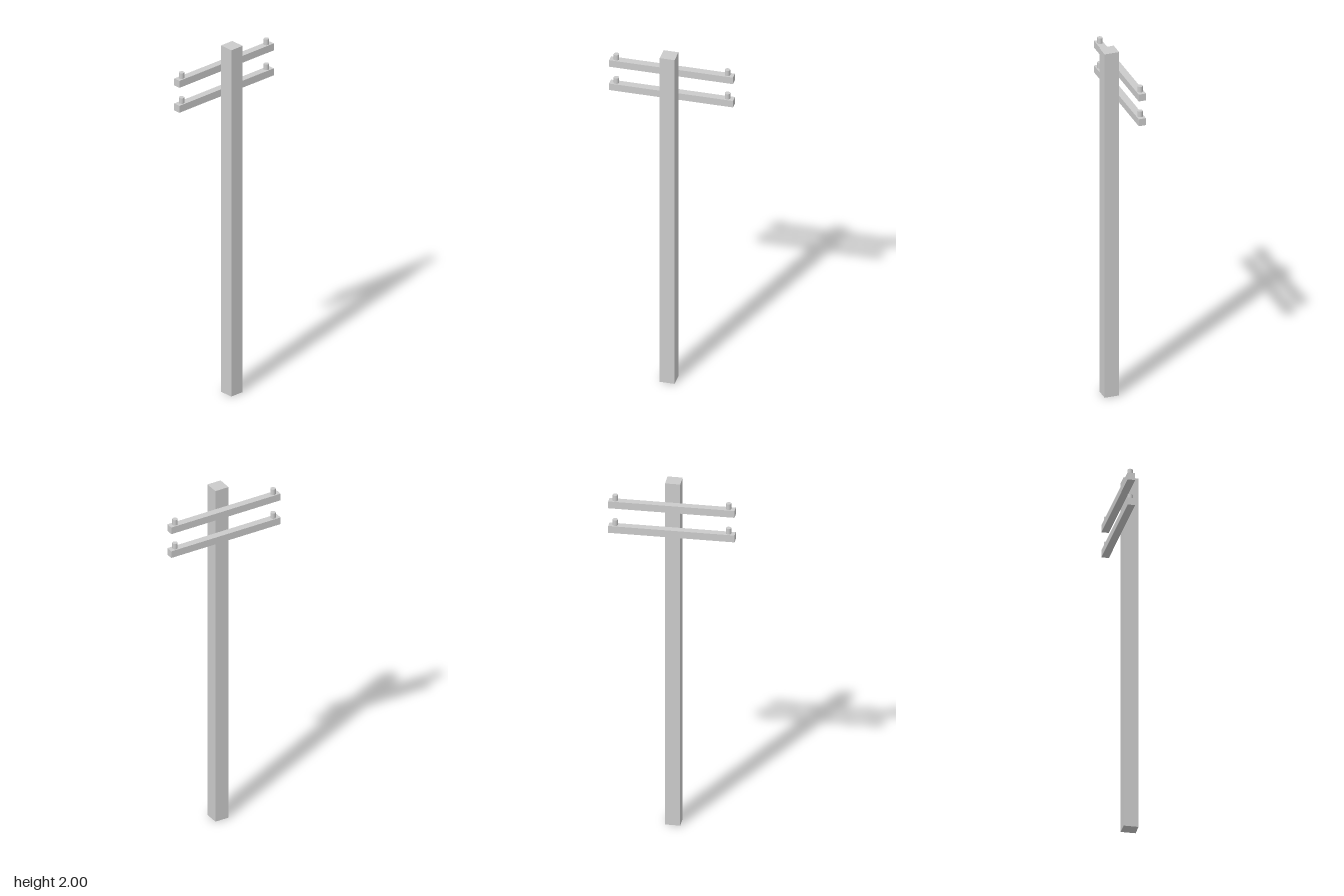
import * as THREE from 'three';

const material = new THREE.MeshStandardMaterial({ color: 0xcccccc });

function addPart(parent, name, geometry, x, y, z) {
  const mesh = new THREE.Mesh(geometry, material);
  mesh.name = name;
  mesh.position.set(x, y, z);
  parent.add(mesh);
}

export function createModel() {
  const model = new THREE.Group();
  model.name = 'utilityPole';

  // Square upright post
  addPart(model, 'post', new THREE.BoxGeometry(0.08, 2, 0.08), 0.02, 1, 0);

  // Two crossarms on the post's right face, each with a pin near both ends
  const armGeometry = new THREE.BoxGeometry(0.04, 0.04, 0.666);
  const pinGeometry = new THREE.CylinderGeometry(0.014, 0.014, 0.032, 24);
  [['upper', 1.87], ['lower', 1.726]].forEach(([level, y]) => {
    const crossarm = new THREE.Group();
    crossarm.name = `${level}Crossarm`;
    crossarm.position.set(-0.04, y, 0);
    addPart(crossarm, 'arm', armGeometry, 0, 0, 0);
    addPart(crossarm, 'frontInsulator', pinGeometry, 0, 0.036, 0.299);
    addPart(crossarm, 'backInsulator', pinGeometry, 0, 0.036, -0.299);
    model.add(crossarm);
  });

  return model;
}
